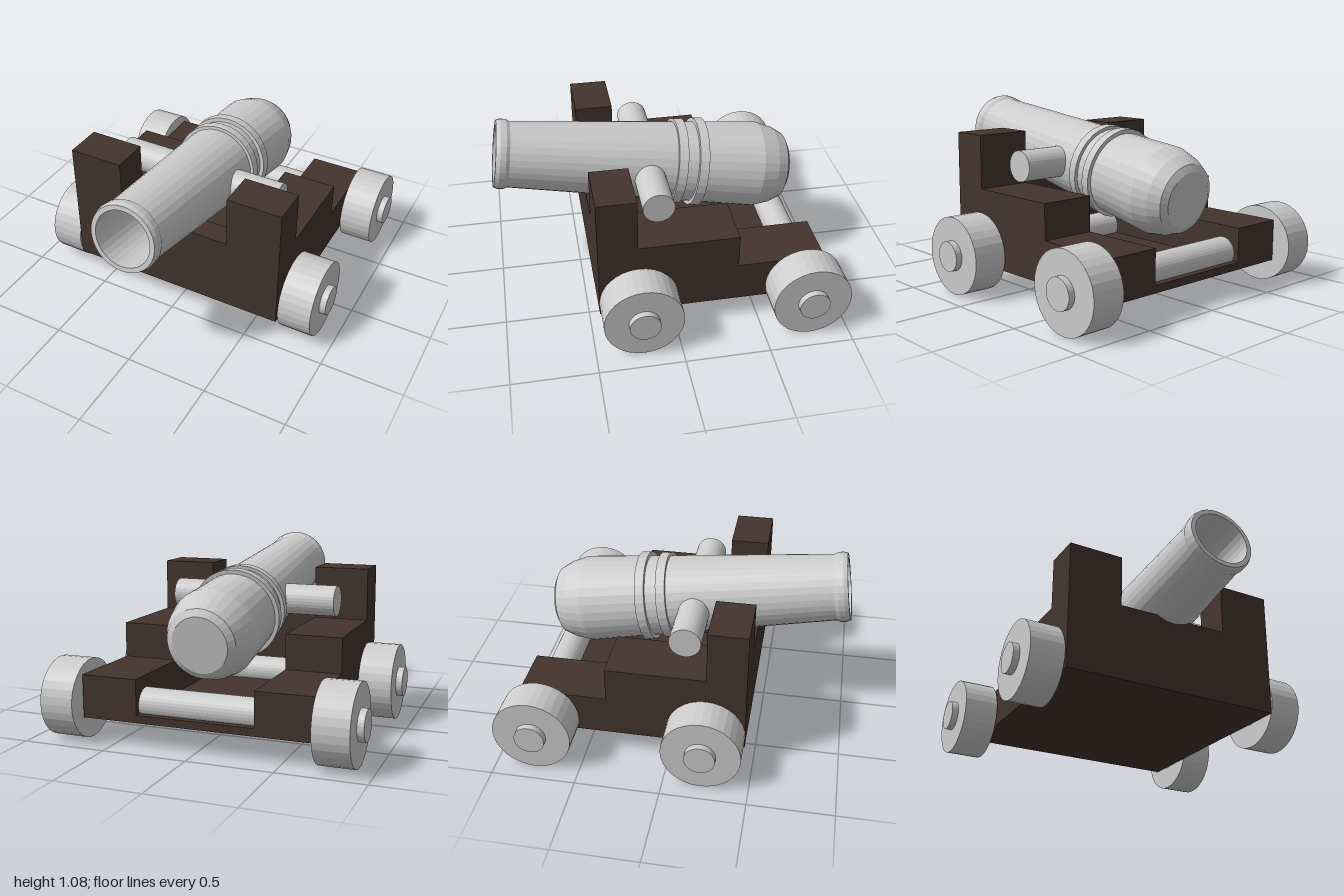
import * as THREE from 'three';

const wood = new THREE.MeshStandardMaterial({ color: 0x44342d, flatShading: true });
wood.name = 'dark wood';
const metal = new THREE.MeshStandardMaterial({ color: 0xcccccc, flatShading: true });
metal.name = 'pale metal';

const TILT = THREE.MathUtils.degToRad(9.2);

function add(parent, name, geometry, material, x = 0, y = 0, z = 0) {
  const mesh = new THREE.Mesh(geometry, material);
  mesh.name = name;
  mesh.position.set(x, y, z);
  parent.add(mesh);
  return mesh;
}

// Cylinder lying along x
const rod = (radius, length) => new THREE.CylinderGeometry(radius, radius, length, 32).rotateZ(Math.PI / 2);

const lathe = (points) => new THREE.LatheGeometry(points.map(([r, y]) => new THREE.Vector2(r, y)), 32);

function buildCarriage() {
  const carriage = new THREE.Group();
  carriage.name = 'carriage';

  // Stepped side cheeks, drawn as (z, y) and extruded across x
  const steps = [[0.45, 0.145], [0.45, 0.925], [0.22, 0.925], [0.22, 0.605],
    [-0.37, 0.605], [-0.37, 0.395], [-0.89, 0.395], [-0.89, 0.145]];
  const outline = new THREE.Shape(steps.map(([z, y]) => new THREE.Vector2(z, y)));
  const width = 0.335;
  const cheek = new THREE.ExtrudeGeometry(outline, { depth: width, bevelEnabled: false });
  cheek.rotateY(-Math.PI / 2).translate(width / 2, 0, 0);
  for (const [side, s] of [['left', 1], ['right', -1]]) {
    add(carriage, side + 'Cheek', cheek, wood, s * 0.5175, 0, 0);
  }

  // Floor and front board between the cheeks
  add(carriage, 'floor', new THREE.BoxGeometry(0.7, 0.045, 1.34), wood, 0, 0.1675, -0.22);
  add(carriage, 'frontBoard', new THREE.BoxGeometry(0.7, 0.463, 0.14), wood, 0, 0.3765, 0.38);

  // Axles with a wheel at each end
  for (const [end, z] of [['front', 0.22], ['rear', -0.77]]) {
    add(carriage, end + 'Axle', rod(0.09, 1.87), metal, 0, 0.235, z);
    for (const [side, s] of [['Left', 1], ['Right', -1]]) {
      add(carriage, end + side + 'Wheel', rod(0.232, 0.203), metal, s * 0.795, 0.233, z);
    }
  }
  return carriage;
}

function buildBarrel() {
  // Local y runs along the barrel, with the muzzle at 0
  const barrel = new THREE.Group();
  barrel.name = 'barrel';
  barrel.position.set(0, 0.882, 0.968);
  barrel.rotation.x = Math.PI / 2 - TILT;

  // Breech, tapered tube, muzzle lip and hollow bore in one profile
  add(barrel, 'barrelBody', lathe([
    [0, -1.795], [0.165, -1.795], [0.205, -1.771], [0.24, -1.7], [0.265, -1.6],
    [0.197, -0.08], [0.207, -0.06], [0.208, -0.025], [0.199, 0],
    [0.17, 0], [0.17, -0.53], [0, -0.53],
  ]), metal);

  // Reinforcing rings
  [[-1.122, 0.262], [-1.248, 0.272]].forEach(([y, r], i) => {
    add(barrel, 'ring' + (i + 1), lathe([
      [0.23, y], [r + 0.002, y], [r - 0.002, y + 0.056], [0.23, y + 0.056],
    ]), metal);
  });
  return barrel;
}

export function createModel() {
  const model = new THREE.Group();
  model.name = 'cannon';
  const body = new THREE.Group();
  body.name = 'cannonParts';
  body.position.x = -0.005;
  model.add(body);
  body.add(buildCarriage(), buildBarrel());

  // Pivot pin through the barrel
  add(body, 'trunnion', rod(0.094, 1.05), metal, -0.01, 0.74, 0.07);
  return model;
}
